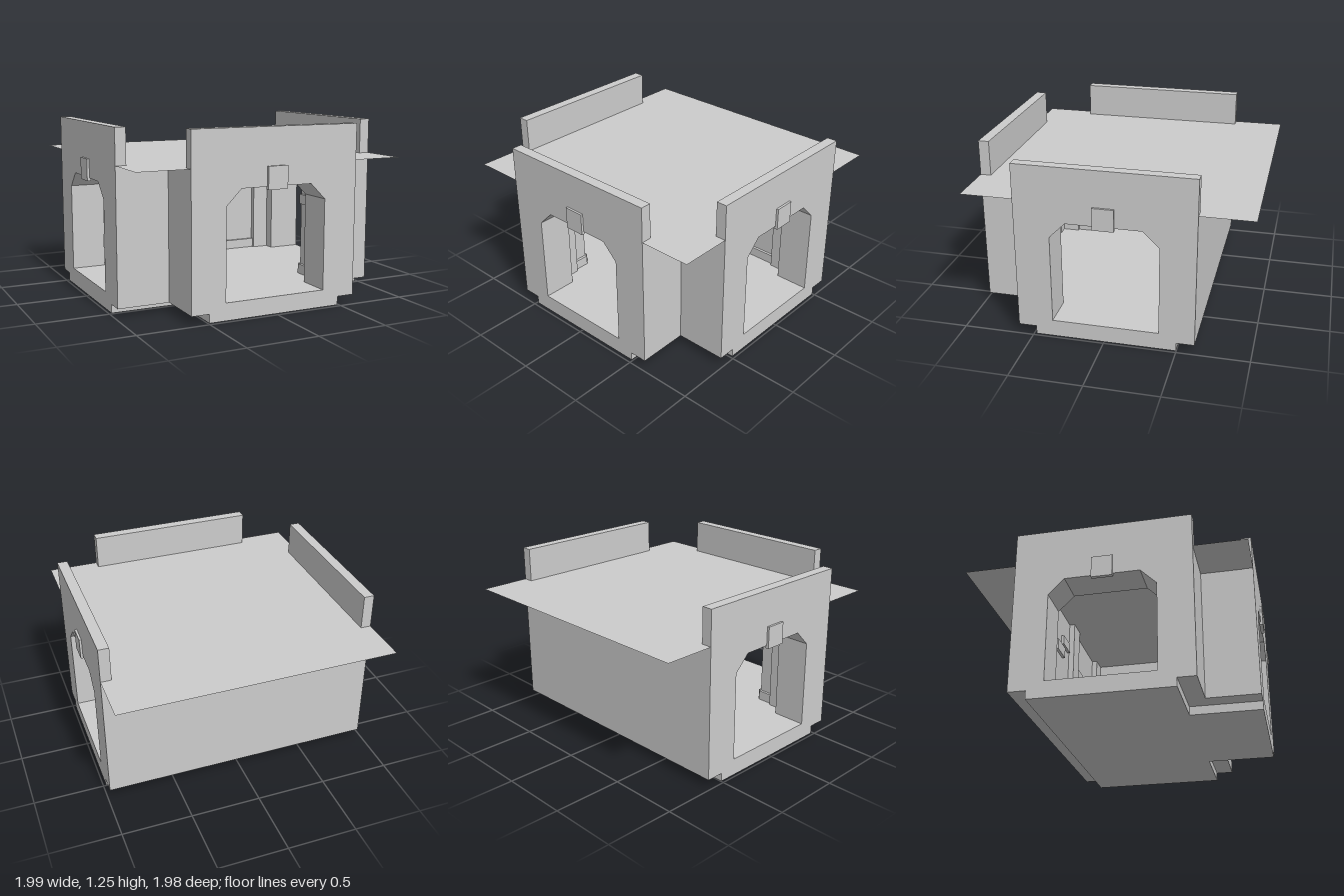
import * as THREE from 'three';

const stone = new THREE.MeshStandardMaterial({ color: 0xcccccc });
stone.name = 'grey stone';
const roofStone = stone.clone();
roofStone.name = 'grey roof stone';
roofStone.side = THREE.DoubleSide;

const OUT = 0.98;    // outer face of each arm
const HALF = 0.615;  // outer half width of an arm
const IN = 0.49;     // inner half width of the room
const DEEP = 0.245;  // depth of the arch walls
const FLOOR = 0.12;

// Box given by its minimum and maximum on each axis
function box(parent, name, x0, x1, y0, y1, z0, z1) {
  const mesh = new THREE.Mesh(new THREE.BoxGeometry(x1 - x0, y1 - y0, z1 - z0), stone);
  mesh.position.set((x0 + x1) / 2, (y0 + y1) / 2, (z0 + z1) / 2);
  mesh.name = name;
  parent.add(mesh);
  return mesh;
}

function polygon(Type, points) {
  return new Type(points.map(([x, y]) => new THREE.Vector2(x, y)));
}

// Wall with a chamfered doorway
function archWall() {
  const shape = polygon(THREE.Shape, [[-HALF, 0.06], [HALF, 0.06], [HALF, 1], [-HALF, 1]]);
  shape.holes.push(polygon(THREE.Path, [
    [-0.37, FLOOR], [-0.37, 0.75], [-0.26, 0.86], [0.26, 0.86], [0.37, 0.75], [0.37, FLOOR],
  ]));
  const mesh = new THREE.Mesh(new THREE.ExtrudeGeometry(shape, { depth: DEEP, bevelEnabled: false }), stone);
  mesh.position.z = OUT - DEEP;
  mesh.name = 'archWall';
  return mesh;
}

// One arm of the building, facing +z
function createArm(name) {
  const arm = new THREE.Group();
  arm.name = name;
  arm.add(archWall());
  box(arm, 'parapet', -HALF, HALF, 1, 1.25, OUT - 0.075, OUT);
  box(arm, 'keystone', -0.073, 0.073, 0.84, 0.995, OUT - 0.01, OUT + 0.016);
  box(arm, 'armFloor', -HALF, HALF, 0.06, FLOOR, IN, OUT - DEEP);
  box(arm, 'armBase', -IN, IN, 0, 0.06, IN, OUT);
  for (const s of [-1, 1]) {
    const side = new THREE.Group();
    side.name = s < 0 ? 'rightArmWall' : 'leftArmWall';
    arm.add(side);
    const part = (label, x0, x1, ...rest) =>
      box(side, label, Math.min(s * x0, s * x1), Math.max(s * x0, s * x1), ...rest);
    part('sideWall', IN, HALF, FLOOR, 1, IN, OUT - DEEP);
    part('pilaster', IN - 0.04, IN, FLOOR, 1, 0.61, OUT - DEEP);
    part('skirting', IN - 0.02, IN, FLOOR, 0.19, IN, 0.61);
    part('brick', IN - 0.02, IN, 0.64, 0.71, 0.5, 0.61);
  }
  return arm;
}

export function createModel() {
  const model = new THREE.Group();
  model.name = 'stoneJunctionRoom';
  const body = new THREE.Group();
  body.name = 'body';
  body.position.z = -0.0075;
  model.add(body);

  // Three open arms: front, left and right
  ['frontArm', 'leftArm', 'rightArm'].forEach((name, i) => {
    const arm = createArm(name);
    arm.rotation.y = [0, Math.PI / 2, -Math.PI / 2][i];
    body.add(arm);
  });

  // Centre floor, base and closed back wall
  box(body, 'centreBase', -IN, IN, 0, 0.06, -IN, IN);
  box(body, 'centreFloor', -IN, IN, 0.06, FLOOR, -HALF, IN);
  box(body, 'backWall', -IN, IN, FLOOR, 1, -HALF, -IN);

  // Relief on the back wall
  box(body, 'backPilaster', -0.073, 0.073, FLOOR, 1, -IN, -IN + 0.04);
  box(body, 'backSkirting', -IN, IN, FLOOR, 0.19, -IN, -IN + 0.02);
  for (const [x0, x1, y0, y1] of [
    [-0.27, -0.11, 0.74, 0.81], [-0.4, -0.23, 0.64, 0.72], [0.073, 0.26, 0.64, 0.71],
  ]) box(body, 'backBrick', x0, x1, y0, y1, -IN, -IN + 0.02);

  // Loose stones in the back corner
  for (const [x, z, size, turn] of [
    [-0.33, -0.34, 0.05, 0.4], [-0.28, -0.39, 0.05, 1.1], [-0.38, -0.4, 0.06, 0.7],
  ]) {
    const rock = box(body, 'looseStone', x - size / 2, x + size / 2,
      FLOOR + 0.005, FLOOR + 0.005 + size, z - size / 2, z + size / 2);
    rock.rotation.set(0.25, turn, 0.2);
  }

  // Thin flat roof, overhanging at the corners and back
  const roof = new THREE.Mesh(new THREE.PlaneGeometry(2 * OUT, 2 * OUT), roofStone);
  roof.rotation.x = -Math.PI / 2;
  roof.position.y = 1.002;
  roof.name = 'roof';
  body.add(roof);

  return model;
}
